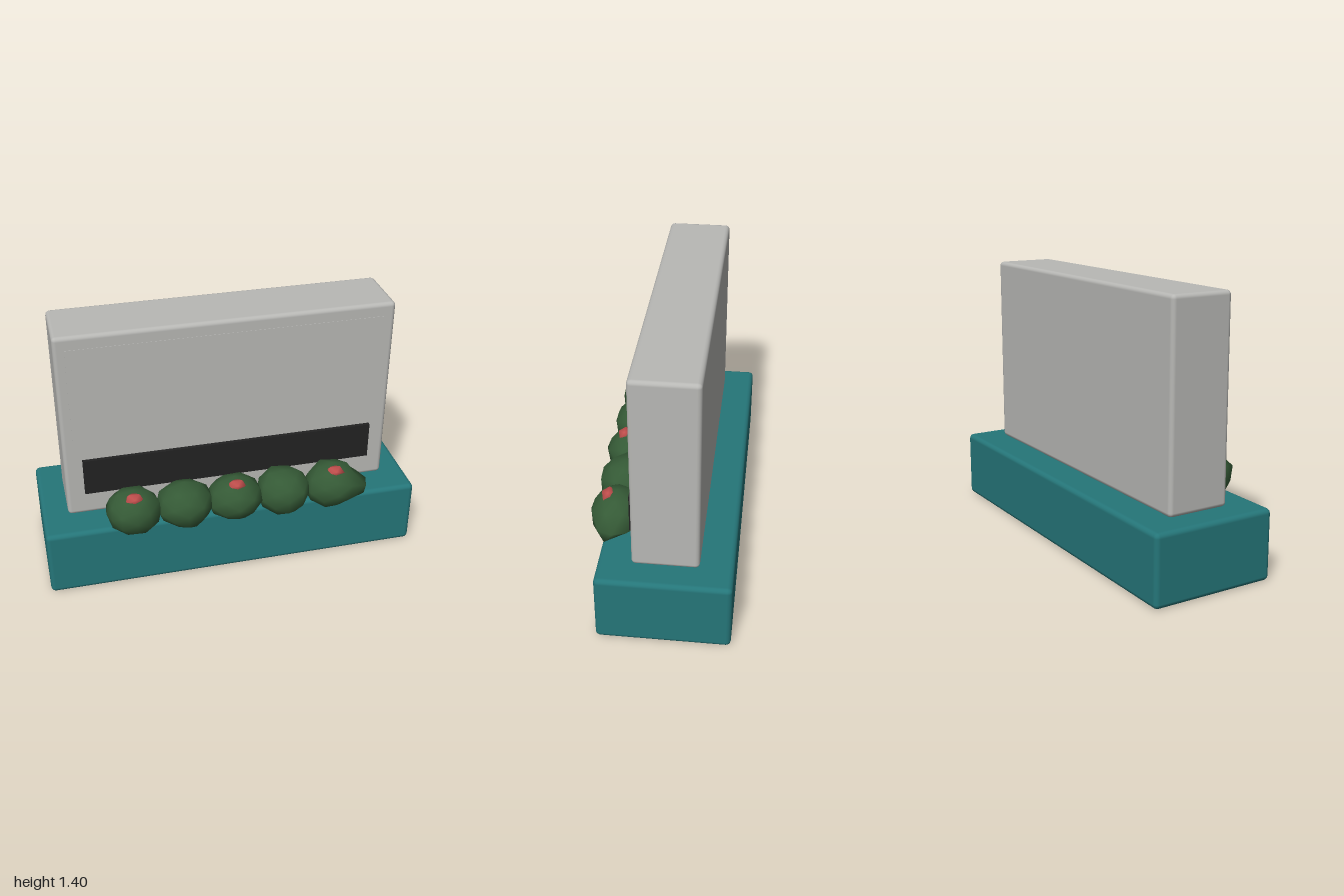
import * as THREE from 'three';
import { mergeVertices } from 'three/addons/utils/BufferGeometryUtils.js';
import { RoundedBoxGeometry } from 'three/addons/geometries/RoundedBoxGeometry.js';

const material = (name, color) => {
  const m = new THREE.MeshStandardMaterial({ color });
  m.name = name;
  return m;
};

// Small seeded random generator
function seeded(seed) {
  let s = seed * 7919 + 17;
  return () => (s = (s * 16807) % 2147483647) / 2147483647;
}

// Smooth-shaded, slightly lumpy low-poly ball
function lumpyBall(radius, detail, jitter, seed) {
  let geo = new THREE.IcosahedronGeometry(radius, detail);
  geo.deleteAttribute('uv');
  geo.deleteAttribute('normal');
  geo = mergeVertices(geo, 1e-4);
  const rand = seeded(seed);
  const pos = geo.attributes.position;
  const v = new THREE.Vector3();
  for (let i = 0; i < pos.count; i++) {
    v.fromBufferAttribute(pos, i).multiplyScalar(1 + (rand() - 0.5) * jitter);
    pos.setXYZ(i, v.x, v.y, v.z);
  }
  geo.computeVertexNormals();
  return geo;
}

export function createModel() {
  const group = new THREE.Group();
  const teal = material('teal', 0x257679);
  const stone = material('stone grey', 0xb8b8b5);
  const black = material('black', 0x222222);
  const leaf = material('leaf green', 0x355a36);
  const red = material('flower red', 0xc4504e);

  const add = (name, geo, mat, x, y, z) => {
    const mesh = new THREE.Mesh(geo, mat);
    mesh.name = name;
    mesh.position.set(x, y, z);
    group.add(mesh);
    return mesh;
  };

  // Plinth and upright slab
  add('base', new RoundedBoxGeometry(2, 0.365, 0.665, 2, 0.025), teal, 0, 0.1825, -0.0455);
  add('slab', new RoundedBoxGeometry(1.73, 1.035, 0.332, 2, 0.022), stone, 0, 0.8825, -0.045);

  // Front panel and dark band
  add('frontPanel', new THREE.BoxGeometry(1.62, 0.57, 0.006), stone, 0, 1.045, 0.12);
  add('band', new THREE.BoxGeometry(1.54, 0.2, 0.04), black, 0, 0.6, 0.12);

  // Row of bushes; every other one carries a flower
  for (let i = 0; i < 5; i++) {
    const x = (i - 2) * 0.268;
    const geo = lumpyBall(0.142, 1, 0.12, i + 3);
    if (i === 4) {
      // Stretch the end bush to a point on its outer side
      const pos = geo.attributes.position;
      for (let k = 0; k < pos.count; k++) {
        if (pos.getX(k) > 0.115) pos.setX(k, pos.getX(k) + 0.045);
      }
      geo.computeVertexNormals();
    }
    const bush = add('bush', geo, leaf, x, 0.425, 0.235);
    bush.scale.set(1.06, 0.9, 0.97);
    if (i % 2 === 0) {
      const flower = add('flower', lumpyBall(0.052, 0, 0.15, i + 11), red, x, 0.521, 0.277);
      flower.scale.set(1.05, 0.7, 0.75);
    }
  }
  return group;
}
